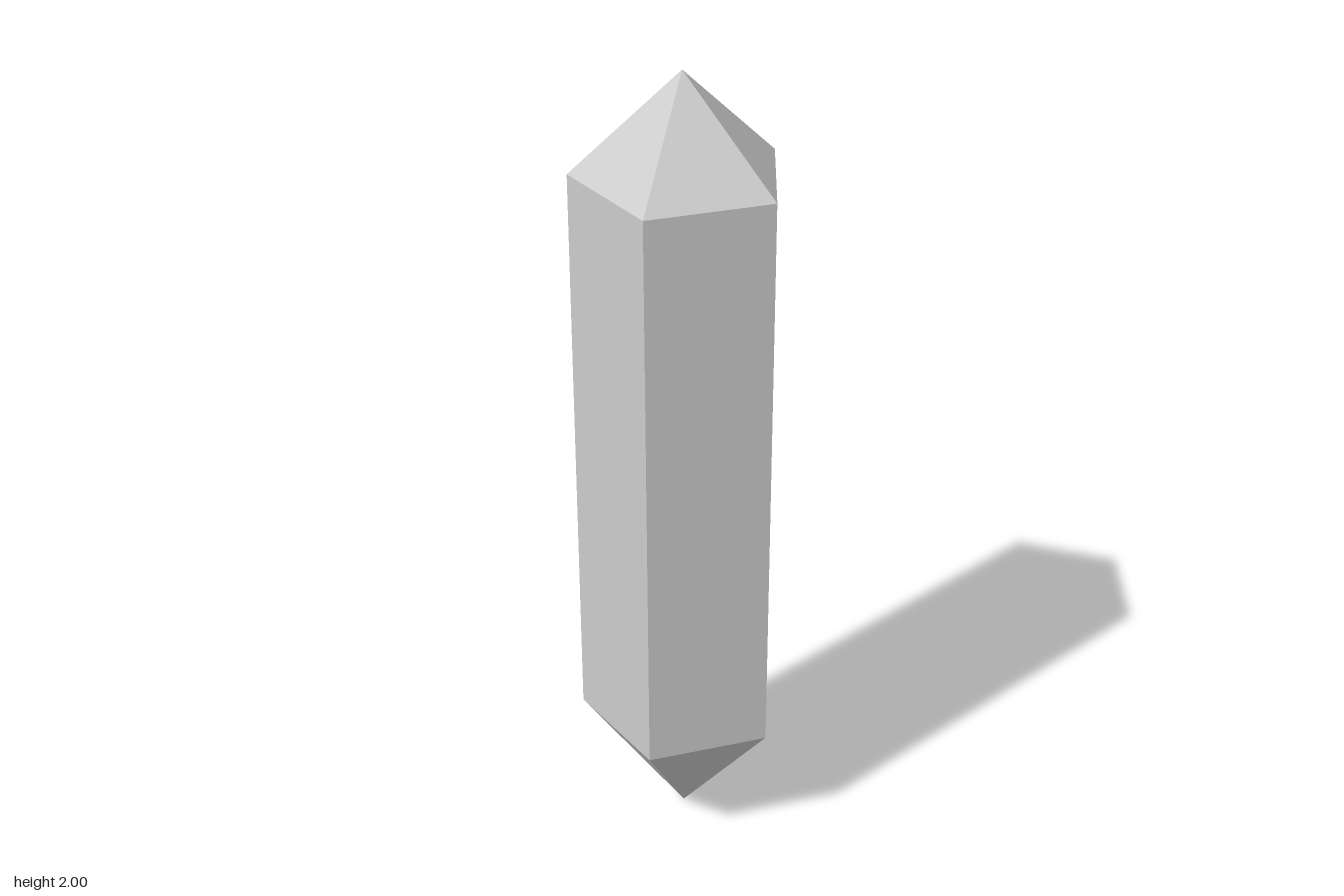
import * as THREE from 'three';

const SIDES = 5;
const RADIUS = 0.2535;
const AXIS_Z = 0.0242; // centres the pentagon's bounds on z = 0
const SHAFT_BOTTOM = 0.32;
const SHAFT_TOP = 1.757;
const TIP = 2;

export function createModel() {
  const crystal = new THREE.Group();
  crystal.name = 'crystal';
  const material = new THREE.MeshStandardMaterial({ color: 0xcccccc, flatShading: true });

  // Open five-sided section between two heights, with one corner pointing to the back
  const addSection = (name, y0, y1, r0, r1) => {
    const geometry = new THREE.CylinderGeometry(r1, r0, y1 - y0, SIDES, 1, true, Math.PI);
    const mesh = new THREE.Mesh(geometry, material);
    mesh.name = name;
    mesh.position.set(0, (y0 + y1) / 2, AXIS_Z);
    crystal.add(mesh);
  };

  addSection('bottomPoint', 0, SHAFT_BOTTOM, 0, RADIUS);
  addSection('shaft', SHAFT_BOTTOM, SHAFT_TOP, RADIUS, RADIUS);
  addSection('topPoint', SHAFT_TOP, TIP, RADIUS, 0);

  return crystal;
}
